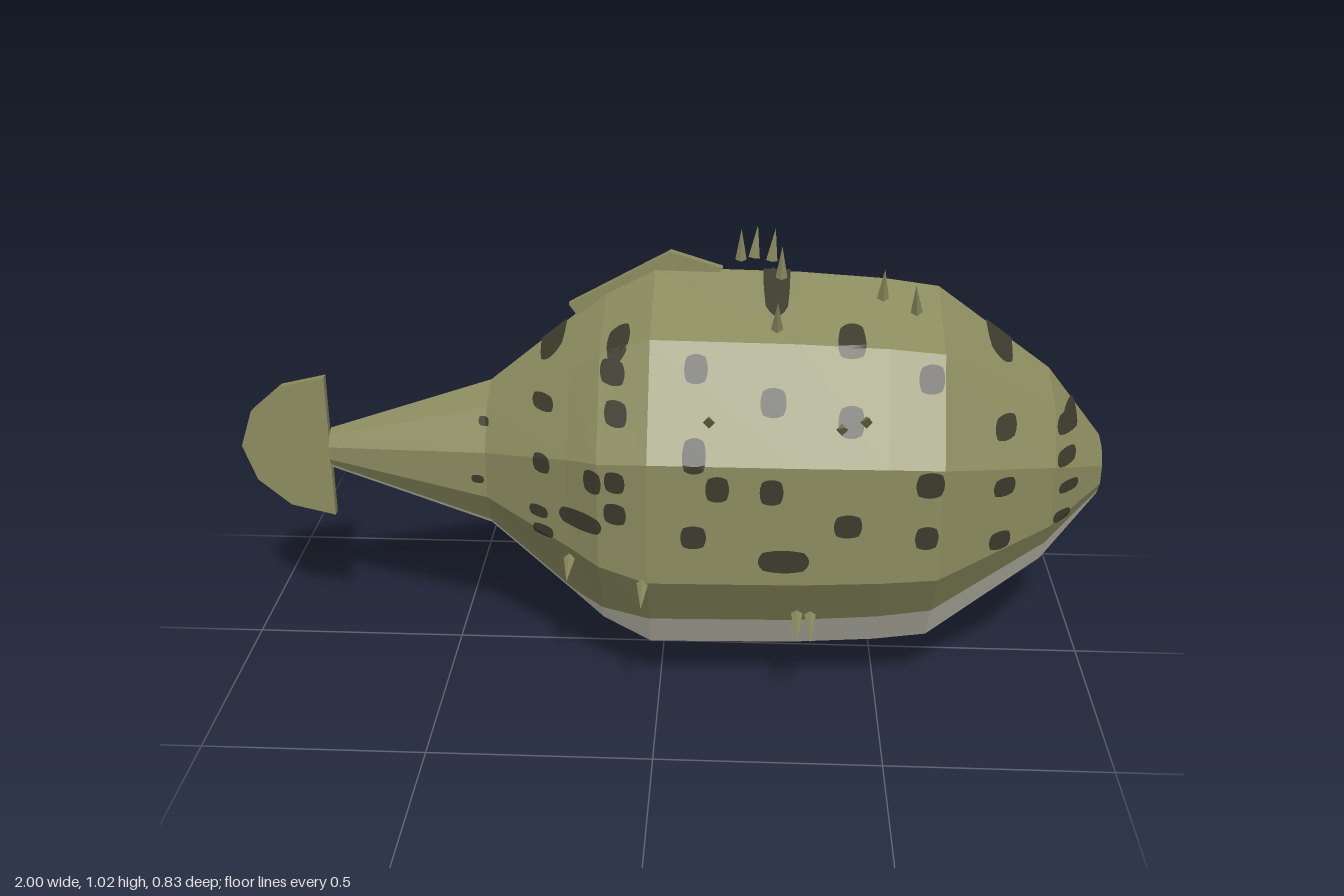
import * as THREE from 'three';

const CY = 0.51, CZ = -0.018;
// body sections: x, vertical radius, sideways radius, where the belly starts on the lower side facet
const SECTIONS = [
  [-0.785, 0.05, 0.04, 0.7], [-0.4, 0.18, 0.145, 0.9], [-0.2, 0.345, 0.29, 0.95],
  [-0.13, 0.4, 0.35, 0.8], [-0.02, 0.458, 0.39, 0.6], [0.3, 0.452, 0.386, 0.6],
  [0.49, 0.44, 0.375, 0.58], [0.61, 0.424, 0.363, 0.55],
  [0.87, 0.235, 0.2, 0.5], [1.0, 0.072, 0.07, 0.64],
];
const corner = k => [Math.cos(k * Math.PI / 5), Math.sin(k * Math.PI / 5)];

// point on the ten-sided outline, u counts corners from the top towards +z
function outline(u) {
  const k = Math.floor(u), f = u - k, a = corner(k), b = corner(k + 1);
  return [a[0] + (b[0] - a[0]) * f, a[1] + (b[1] - a[1]) * f];
}
function bodyPoint(s, u) {
  const [c, d] = outline(u);
  return [s[0], CY + c * s[1], CZ + d * s[2]];
}
function radii(x) {
  let i = 0;
  while (i < SECTIONS.length - 2 && SECTIONS[i + 1][0] < x) i++;
  const a = SECTIONS[i], b = SECTIONS[i + 1];
  const f = THREE.MathUtils.clamp((x - a[0]) / (b[0] - a[0]), 0, 1);
  return [a[1] + (b[1] - a[1]) * f, a[2] + (b[2] - a[2]) * f];
}
// sideways reach of the outline at a given height, and height at a given sideways reach
function reach(c) {
  c = THREE.MathUtils.clamp(c, -1, 1);
  for (let k = 0; k < 5; k++) {
    const a = corner(k), b = corner(k + 1);
    if (c >= b[0] - 1e-9) return a[1] + (b[1] - a[1]) * (a[0] - c) / (a[0] - b[0]);
  }
  return 0;
}
function rise(d) {
  for (let k = 0; k < 2; k++) {
    const a = corner(k), b = corner(k + 1);
    if (d <= b[1]) return a[0] + (b[0] - a[0]) * (d - a[1]) / (b[1] - a[1]);
  }
  return 0.3;
}
function geometryFrom(list) {
  const g = new THREE.BufferGeometry();
  g.setAttribute('position', new THREE.Float32BufferAttribute(list.flat(), 3));
  g.computeVertexNormals();
  return g;
}
// lengthwise strip of the body with both ends closed
function shell(columns) {
  const rows = SECTIONS.map(s => columns(s[3]).map(u => bodyPoint(s, u)));
  const out = [], n = rows[0].length, last = rows[rows.length - 1];
  for (let i = 0; i < rows.length - 1; i++)
    for (let j = 0; j < n - 1; j++) {
      const a = rows[i][j], b = rows[i + 1][j], c = rows[i + 1][j + 1], d = rows[i][j + 1];
      out.push(a, c, b, a, d, c);
    }
  for (let j = 1; j < n - 1; j++) {
    out.push(last[0], last[j], last[j + 1]);
    out.push(rows[0][0], rows[0][j + 1], rows[0][j]);
  }
  return geometryFrom(out);
}
// rounded patch laid on the body, place(p, q) returns a point
function patch(cx, cq, w, h, place) {
  const N = 8, out = [];
  const at = (i, j) => {
    const a = i / N * 2 - 1, b = j / N * 2 - 1;
    return place(cx + a * (1 - 0.2 * b * b) * w / 2, cq + b * (1 - 0.2 * a * a) * h / 2);
  };
  for (let i = 0; i < N; i++)
    for (let j = 0; j < N; j++) {
      const a = at(i, j), b = at(i + 1, j), c = at(i + 1, j + 1), d = at(i, j + 1);
      out.push(a, b, c, a, c, d);
    }
  return geometryFrom(out);
}
const LIFT = 0.005;
const onSide = side => (x, y) => {
  const [ry, rz] = radii(x);
  return [x, y, CZ + side * (reach((y - CY) / (ry + LIFT)) * (rz + LIFT))];
};
const onTop = (x, z) => {
  const [ry, rz] = radii(x);
  return [x, CY + rise(Math.abs(z) / (rz + LIFT)) * (ry + LIFT), CZ + z];
};

// side spots: x, y, width, height
const SIDE_SPOTS = [
  [0.08, 0.83, 0.05, 0.055], [0.41, 0.875, 0.06, 0.05], [-0.1, 0.81, 0.055, 0.05],
  [0.245, 0.77, 0.055, 0.055], [-0.26, 0.71, 0.05, 0.035], [-0.09, 0.735, 0.05, 0.05],
  [0.08, 0.67, 0.05, 0.07], [0.41, 0.735, 0.055, 0.06], [0.58, 0.81, 0.055, 0.055],
  [0.75, 0.69, 0.05, 0.05], [0.13, 0.6, 0.05, 0.06], [0.245, 0.595, 0.05, 0.06],
  [-0.14, 0.59, 0.04, 0.055], [-0.26, 0.59, 0.04, 0.045], [-0.09, 0.6, 0.045, 0.05],
  [0.41, 0.515, 0.06, 0.055], [0.58, 0.61, 0.06, 0.06], [0.58, 0.485, 0.05, 0.055],
  [0.75, 0.57, 0.05, 0.045], [0.75, 0.44, 0.05, 0.045], [0.08, 0.485, 0.055, 0.055],
  [0.275, 0.43, 0.11, 0.055], [-0.17, 0.485, 0.1, 0.045], [-0.27, 0.47, 0.045, 0.03],
  [-0.09, 0.525, 0.05, 0.05], [-0.26, 0.425, 0.05, 0.03], [-0.405, 0.63, 0.025, 0.02],
  [-0.42, 0.5, 0.03, 0.02], [0.9, 0.595, 0.05, 0.035], [0.91, 0.525, 0.05, 0.03],
  [0.9, 0.455, 0.045, 0.03], [0.905, 0.66, 0.06, 0.045],
];
// spots across the back: x, sideways offset, width, depth
const BACK_SPOTS = [
  [-0.25, 0, 0.06, 0.18], [0.25, 0, 0.06, 0.3], [0.75, 0, 0.06, 0.2],
  [-0.09, 0.19, 0.05, 0.09],  [-0.09, -0.19, 0.05, 0.09],
];
// spines: base point and direction
const SPINES = [
  [0.17, 0.955, -0.12, 0, 1, 0.1], [0.2, 0.955, -0.135, 0.1, 1, -0.2], [0.24, 0.955, -0.115, 0.1, 1, -0.1],
  [0.25, 0.9, 0.185, 0, 1, 0.4], [0.48, 0.935, 0.075, 0, 1, 0.25],
  [0.55, 0.92, 0.12, -0.1, 1, 0.35], [0.26, 0.96, 0.02, 0, 1, 0.1],
  [0.11, 0.735, 0.31, 0, 0.6, 1], [0.39, 0.725, 0.31, 0, 0.5, 1], [0.44, 0.74, 0.305, 0, 0.6, 1],
  [-0.2, 0.37, 0.245, 0, -0.3, 1], [-0.03, 0.365, 0.345, 0, -0.35, 1],
  [0.31, 0.27, 0.295, 0, -0.5, 1], [0.34, 0.265, 0.29, 0, -0.5, 1],
  [0.25, 0.81, -0.31, 0, 0.8, -1], [-0.02, 0.745, -0.335, 0, 0.6, -1],
  [0.09, 0.085, -0.135, 0, -1, -0.3], [0.54, 0.1, -0.135, 0, -1, -0.3],
];

export function createModel() {
  const model = new THREE.Group();
  const paint = (name, color) => {
    const m = new THREE.MeshStandardMaterial({ color, flatShading: true, side: THREE.DoubleSide });
    m.name = name;
    return m;
  };
  const olive = paint('olive skin', 0x8b8b5f);
  const pale = paint('pale belly', 0xc6c4b4);
  const dark = paint('dark spots', 0x3b3a2c);
  const add = (name, geometry, material) => {
    const mesh = new THREE.Mesh(geometry, material);
    mesh.name = name;
    model.add(mesh);
    return mesh;
  };

  // body
  add('upperBody', shell(t => [-3 - t, -3, -2, -1, 0, 1, 2, 3, 3 + t]), olive);
  add('belly', shell(t => [3 + t, 4, 5, 6, 7 - t]), pale);

  // fins
  const fin = (name, points, thickness) => {
    const shape = new THREE.Shape(points.map(p => new THREE.Vector2(...p)));
    const g = new THREE.ExtrudeGeometry(shape, { depth: thickness, bevelEnabled: false });
    add(name, g.translate(0, 0, CZ - thickness / 2), olive);
  };
  fin('tailFin', [[-0.79, 0.335], [-0.79, 0.69], [-0.895, 0.665], [-0.97, 0.6], [-1, 0.512],
    [-0.97, 0.425], [-0.895, 0.36]], 0.02);
  fin('dorsalFin', [[-0.215, 0.88], [0.015, 1.006], [0.13, 0.97], [0.1, 0.93], [-0.18, 0.83]], 0.022);

  // spots
  for (const side of [1, -1])
    for (const [x, y, w, h] of SIDE_SPOTS) add('sideSpot', patch(x, y, w, h, onSide(side)), dark);
  for (const [x, z, w, d] of BACK_SPOTS) add('backSpot', patch(x, z, w, d, onTop), dark);

  // spines
  const up = new THREE.Vector3(0, 1, 0);
  const spine = ([x, y, z, dx, dy, dz], radius, length) => {
    const mesh = add('spine', new THREE.ConeGeometry(radius, length, 4).translate(0, length / 2, 0), olive);
    mesh.position.set(x, y, z);
    mesh.quaternion.setFromUnitVectors(up, new THREE.Vector3(dx, dy, dz).normalize());
  };
  SPINES.forEach(s => spine(s, 0.013, 0.075));
  spine([0.4, 0.46, -0.375, -0.2, -1, -0.7], 0.035, 0.07);
  return model;
}
